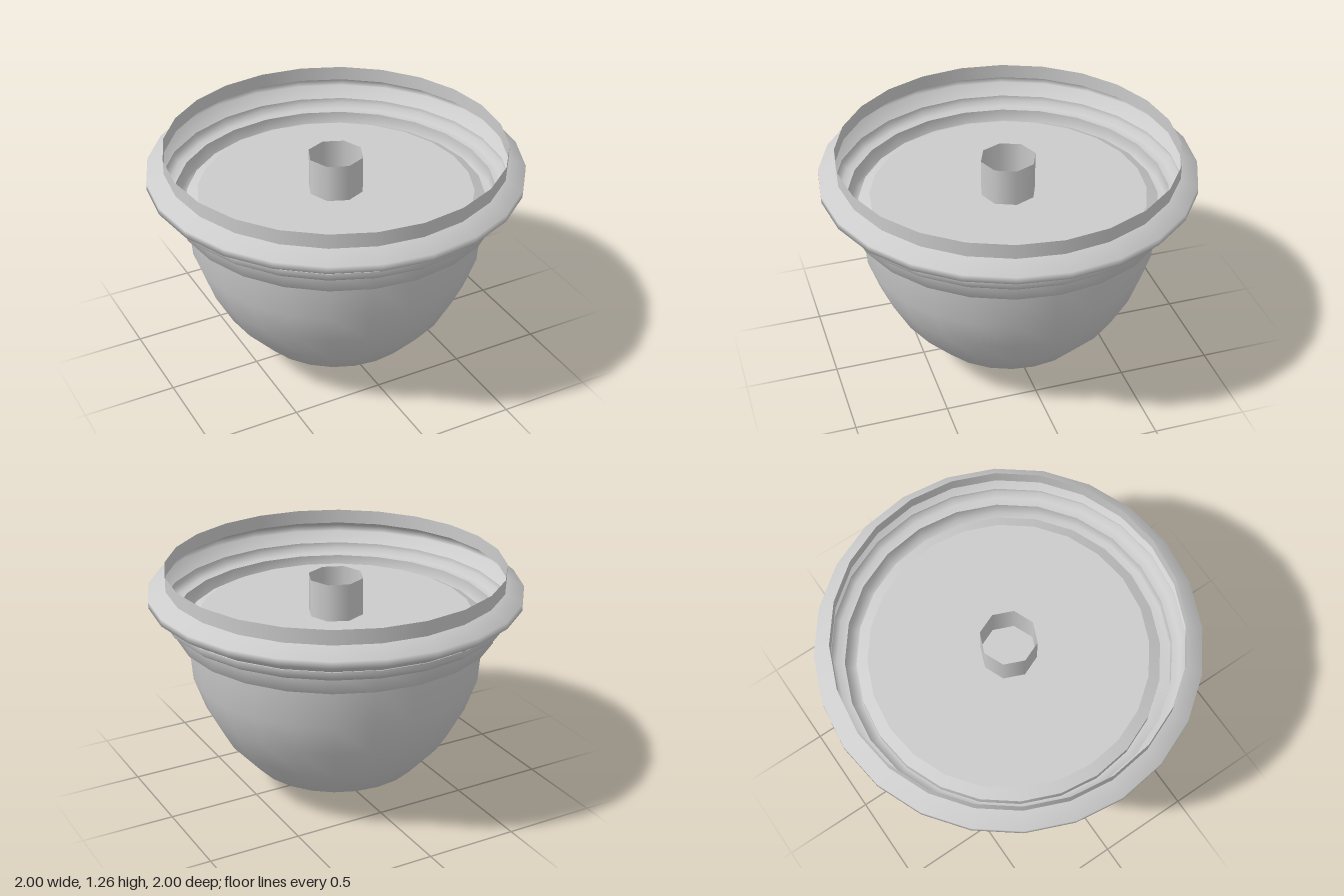
import * as THREE from 'three';

const SIDES = 24;
const material = new THREE.MeshStandardMaterial({ color: 0xcccccc, side: THREE.DoubleSide });

// Turned part: profile points run bottom to top as [radius, height].
function turned(name, profile) {
  const points = profile.map(([r, y]) => new THREE.Vector2(r, y));
  const mesh = new THREE.Mesh(new THREE.LatheGeometry(points, SIDES), material);
  mesh.name = name;
  return mesh;
}

export function createModel() {
  const model = new THREE.Group();
  model.name = 'domeFixture';

  // Rounded bowl with a short upright neck
  model.add(turned('bowl', [
    [0, 0], [0.1, 0.005], [0.3, 0.06], [0.465, 0.14], [0.625, 0.32],
    [0.72, 0.5], [0.783, 0.68], [0.8, 0.905], [0.8, 0.96],
  ]));

  // Bevelled edge and flat plate closing the bowl
  model.add(turned('plateBevel', [[0.8, 0.96], [0.74, 0.99]]));
  model.add(turned('plate', [[0.74, 0.99], [0, 0.99]]));

  // Thin stepped collar, split into bands where its edges are sharp
  const collar = new THREE.Group();
  collar.name = 'collar';
  collar.add(
    turned('collarBase', [[0.8, 0.907], [0.857, 0.907], [0.857, 1.0]]),
    turned('collarStep', [[0.857, 1.0], [0.9, 1.0], [0.93, 1.025], [0.93, 1.056]]),
    turned('flange', [[0.925, 1.056], [1, 1.105], [1, 1.143], [0.907, 1.186]]),
    turned('rim', [[0.907, 1.186], [0.907, 1.265]]),
  );
  model.add(collar);

  // Open socket standing on the plate
  const socket = new THREE.Mesh(new THREE.CylinderGeometry(0.15, 0.15, 0.205, 8, 1, true), material);
  socket.name = 'socket';
  socket.position.y = 1.0925;
  model.add(socket);

  return model;
}
